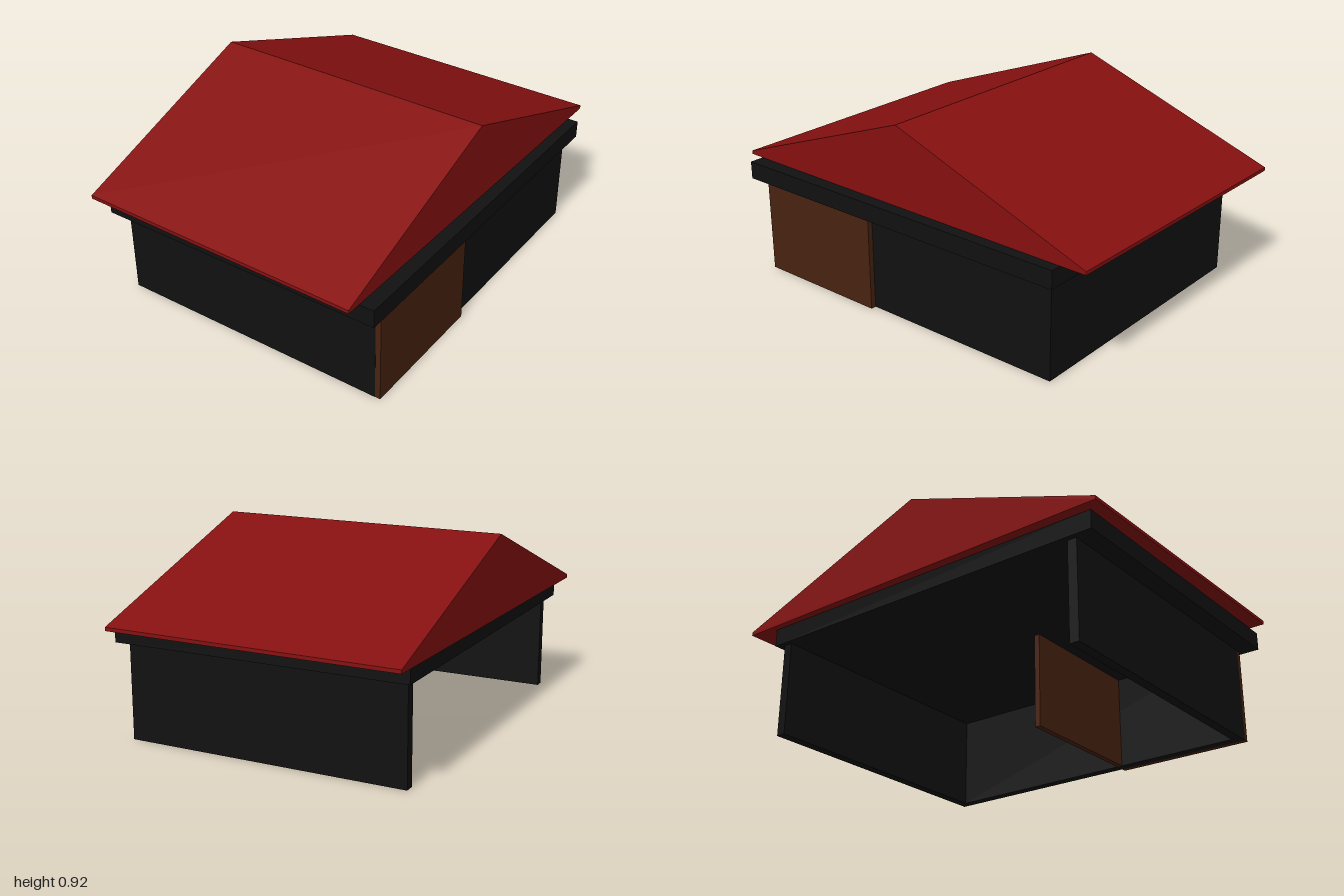
import * as THREE from 'three';

const material = (color) => new THREE.MeshStandardMaterial({ color, flatShading: true });

export function createModel() {
  const model = new THREE.Group();
  model.name = 'house';
  const black = material(0x111111);
  const brown = material(0x482211);
  const red = material(0x861010);

  // Body sits slightly turned under the roof
  const body = new THREE.Group();
  body.name = 'body';
  body.position.set(0.0125, 0, 0.035);
  body.rotation.y = 0.011;
  model.add(body);

  // Box given by its min and max on each axis
  const block = (name, mat, [x0, x1], [y0, y1], [z0, z1]) => {
    const mesh = new THREE.Mesh(new THREE.BoxGeometry(x1 - x0, y1 - y0, z1 - z0), mat);
    mesh.position.set((x0 + x1) / 2, (y0 + y1) / 2, (z0 + z1) / 2);
    mesh.name = name;
    body.add(mesh);
  };

  // Walls: the right side (-x) is open
  const wallY = [0, 0.457];
  const t = 0.045;
  block('frontWall', black, [-0.688, 0.663], wallY, [0.813 - t, 0.813]);
  block('backWall', black, [-0.688, 0.663], wallY, [-0.862, -0.862 + t]);
  block('leftWall', black, [0.663 - t, 0.663], wallY, [-0.862 + t, 0.813 - t]);

  // Brown side panel with the inner partition behind it
  block('sidePanel', brown, [0.663, 0.689], wallY, [0.143, 0.812]);
  block('partition', brown, [-0.06, 0.663 - t], wallY, [0.143, 0.17]);

  // Ceiling slab
  block('ceilingSlab', black, [-0.7125, 0.7125], [0.455, 0.54], [-0.9, 0.9]);

  // Gabled roof, ridge along x
  const gable = new THREE.Shape();
  gable.moveTo(-1, 0.541);
  gable.lineTo(1, 0.541);
  gable.lineTo(1, 0.558);
  gable.lineTo(-0.015, 0.92);
  gable.lineTo(-1, 0.558);
  gable.closePath();
  const roofGeometry = new THREE.ExtrudeGeometry(gable, { depth: 1.405, bevelEnabled: false });
  roofGeometry.rotateY(Math.PI / 2).translate(-0.74, 0, 0);
  const roof = new THREE.Mesh(roofGeometry, red);
  roof.name = 'roof';
  model.add(roof);

  return model;
}
